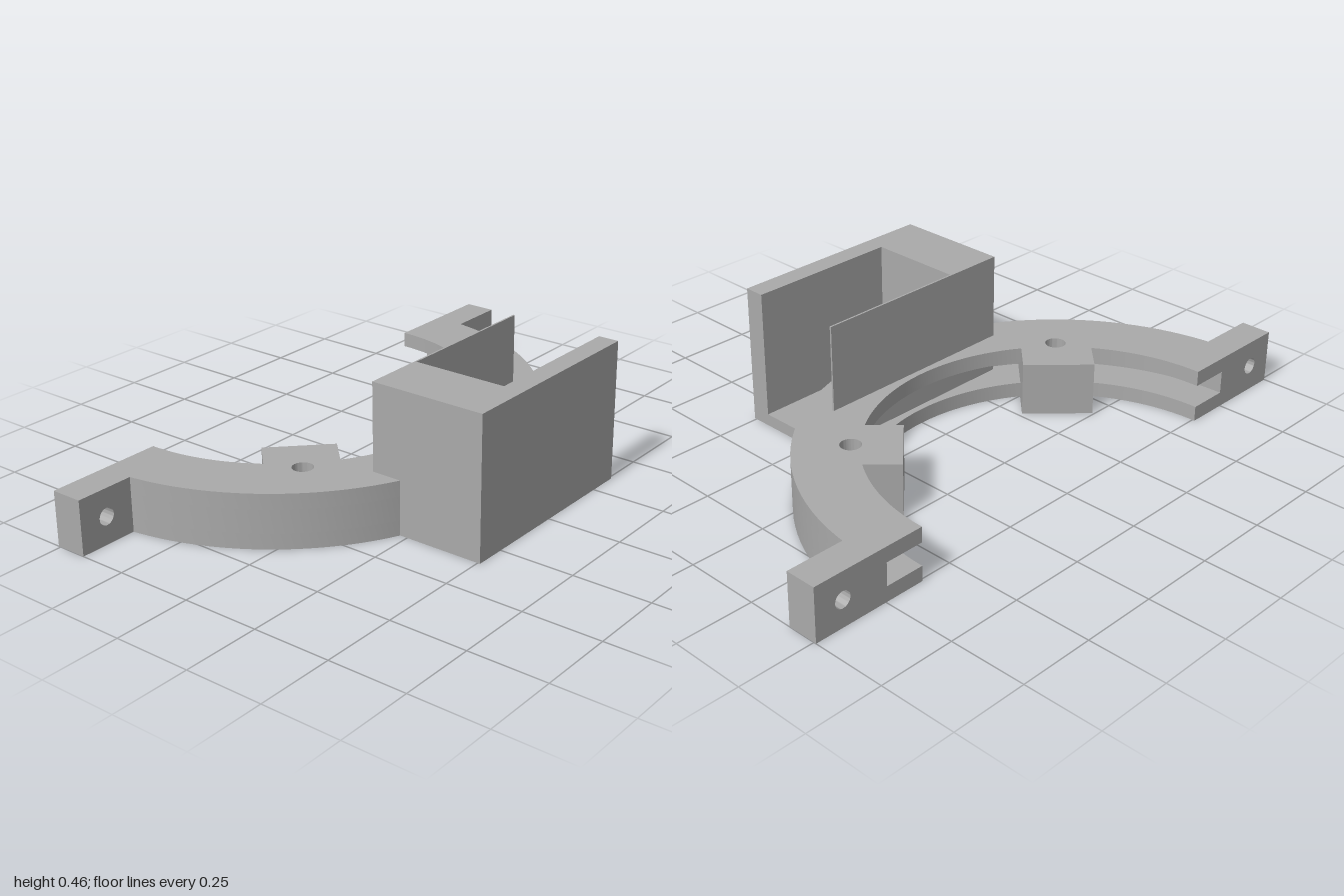
import * as THREE from 'three';
import { toCreasedNormals } from 'three/addons/utils/BufferGeometryUtils.js';

const CX = -0.508;      // ring centre on x
const OUTER = 0.813, INNER = 0.613, GROOVE = 0.745;
const HEIGHT = 0.176, LIP = 0.05;
const TAB_R = 0.487, TAB_HALF = 0.113, HOLE_R = 0.64;

// Half-ring outline with two inward tabs and their screw holes
function ringShape(inner) {
  const s = new THREE.Shape();
  const half = Math.PI / 2;
  const d = Math.asin(TAB_HALF / inner);
  s.absarc(0, 0, OUTER, -half, half, false);
  let from = half;
  for (const a of [Math.PI / 4, -Math.PI / 4]) {
    s.absarc(0, 0, inner, from, a + d, true);
    for (const side of [1, -1]) {
      s.lineTo(
        TAB_R * Math.cos(a) - side * TAB_HALF * Math.sin(a),
        TAB_R * Math.sin(a) + side * TAB_HALF * Math.cos(a));
    }
    from = a - d;
    const hole = new THREE.Path();
    hole.absarc(HOLE_R * Math.cos(a), HOLE_R * Math.sin(a), 0.033, 0, Math.PI * 2, true);
    s.holes.push(hole);
  }
  s.absarc(0, 0, inner, from, -half, true);
  s.closePath();
  return s;
}

function extrude(shape, depth) {
  return new THREE.ExtrudeGeometry(shape, { depth, bevelEnabled: false, curveSegments: 32 });
}

export function createModel() {
  const group = new THREE.Group();
  const grey = new THREE.MeshStandardMaterial({ color: 0xaaaaaa });
  grey.name = 'plain grey';

  const add = (name, geometry, x = 0, y = 0, z = 0) => {
    const mesh = new THREE.Mesh(geometry, grey);
    mesh.name = name;
    mesh.position.set(x, y, z);
    group.add(mesh);
  };
  const addBox = (name, x0, x1, y0, y1, z0, z1) =>
    add(name, new THREE.BoxGeometry(x1 - x0, y1 - y0, z1 - z0),
      (x0 + x1) / 2, (y0 + y1) / 2, (z0 + z1) / 2);

  // Half ring: two lips with a groove between them, open to the inside
  const layers = [
    ['lowerLip', INNER, 0, LIP],
    ['grooveWall', GROOVE, LIP, HEIGHT - LIP],
    ['upperLip', INNER, HEIGHT - LIP, HEIGHT],
  ];
  for (const [name, inner, y0, y1] of layers) {
    const geometry = extrude(ringShape(inner), y1 - y0).rotateX(-Math.PI / 2);
    add(name, toCreasedNormals(geometry, 0.5), CX, y0, 0);
  }

  // Mounting ears with a cross hole at both ends of the ring
  for (const side of [1, -1]) {
    const ear = new THREE.Shape();
    ear.moveTo(-0.097, 0);
    ear.lineTo(0.097, 0);
    ear.lineTo(0.097, HEIGHT);
    ear.lineTo(-0.097, HEIGHT);
    ear.closePath();
    const hole = new THREE.Path();
    hole.absarc(0, HEIGHT / 2, 0.027, 0, Math.PI * 2, true);
    ear.holes.push(hole);
    const geometry = extrude(ear, 0.103).rotateY(Math.PI / 2);
    add(side > 0 ? 'frontEar' : 'backEar', toCreasedNormals(geometry, 0.5), CX, 0, side * 0.903);
  }

  // Holder box: open at the top and the back
  addBox('holderFrontBlock', 0.126, 0.508, 0, 0.457, 0.154, 0.352);
  addBox('holderOuterWall', 0.441, 0.508, 0, 0.457, -0.352, 0.154);
  addBox('holderFloor', 0.132, 0.441, 0, 0.04, -0.352, 0.154);
  addBox('holderThinWall', 0.126, 0.132, 0.01, 0.457, -0.352, 0.154);

  return group;
}
